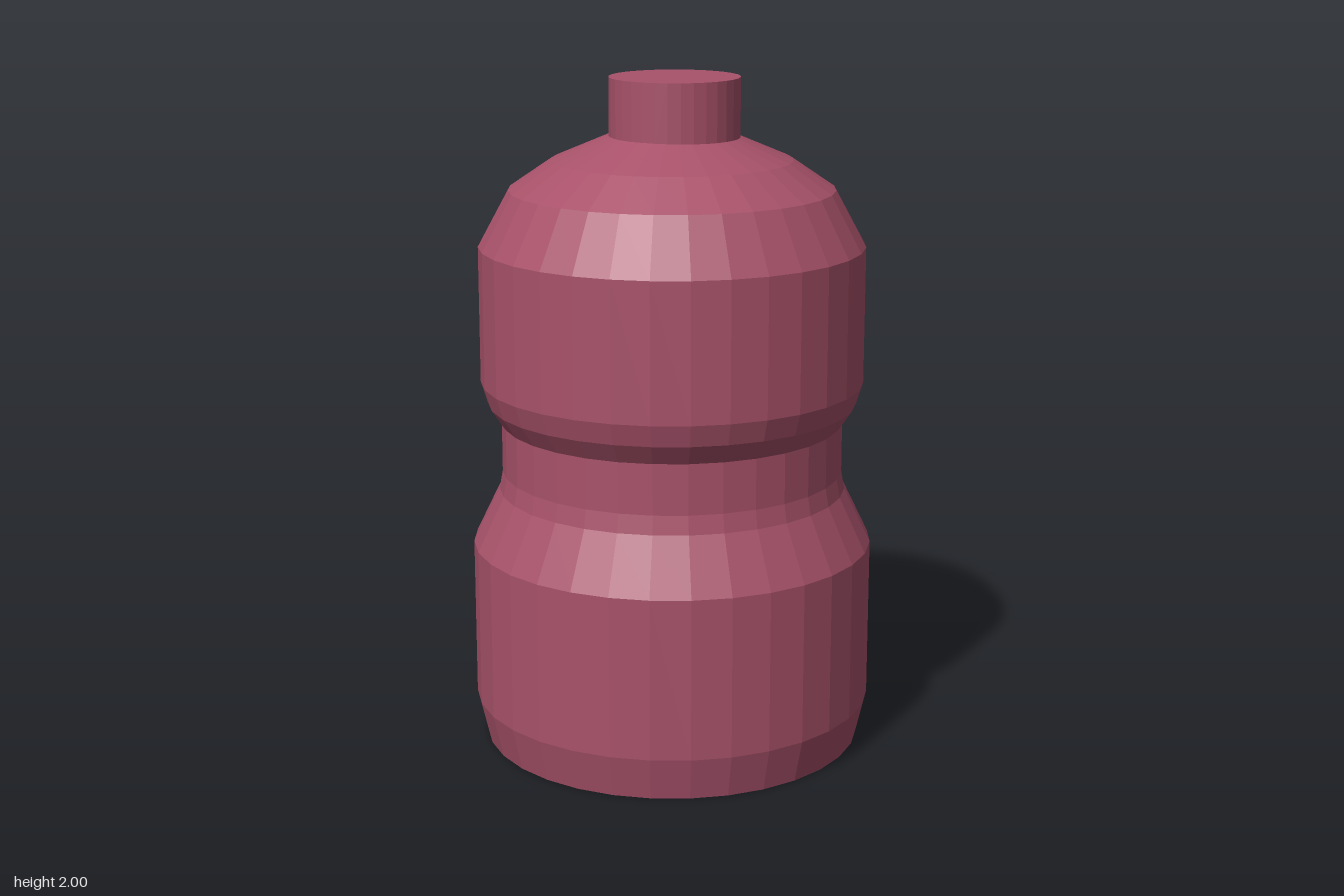
import * as THREE from 'three';

const SIDES = 32;

export function createModel() {
  const model = new THREE.Group();
  const material = new THREE.MeshStandardMaterial({ color: 0xa8526a });
  material.flatShading = true;

  // Bottle body: radius and height from the base to the shoulder
  const profile = [
    [0, 0], [0.57, 0], [0.6, 0.13], [0.6, 0.61],
    [0.52, 0.775], [0.51, 0.83], [0.51, 0.98], // grip waist
    [0.55, 1.04], [0.57, 1.105], [0.57, 1.51],
    [0.48, 1.675], [0.355, 1.76], [0.19, 1.83], [0, 1.83],
  ].map(([r, y]) => new THREE.Vector2(r, y));
  const body = new THREE.Mesh(new THREE.LatheGeometry(profile, SIDES), material);
  body.name = 'bottleBody';
  model.add(body);

  // Cap, sitting very slightly off the axis and sunk into the shoulder
  const cap = new THREE.Mesh(new THREE.CylinderGeometry(0.192, 0.192, 0.18, SIDES), material);
  cap.name = 'cap';
  cap.position.set(0.005, 1.91, 0.006);
  model.add(cap);

  return model;
}
